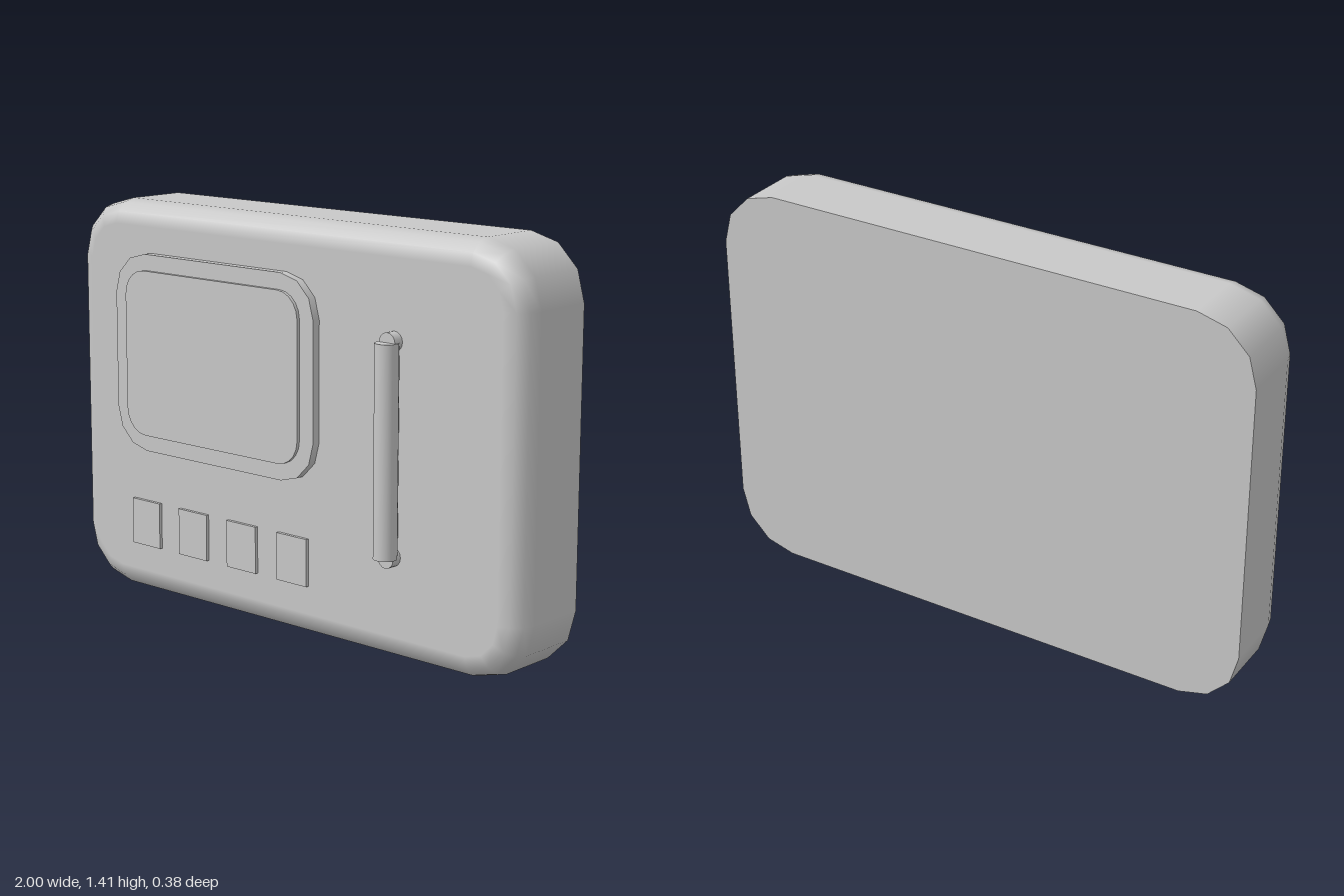
import * as THREE from 'three';

const grey = new THREE.MeshStandardMaterial({ color: 0xc8c8c8 });
grey.name = 'plain grey';

// Counter-clockwise rounded rectangle: points with their outward directions
function outline(w, h, r, seg) {
  const pts = [];
  const corners = [[1, 1], [-1, 1], [-1, -1], [1, -1]];
  corners.forEach(([sx, sy], c) => {
    for (let i = 0; i <= seg; i++) {
      const a = (c + i / seg) * Math.PI / 2;
      const nx = Math.cos(a), ny = Math.sin(a);
      pts.push({ x: sx * (w / 2 - r) + r * nx, y: sy * (h / 2 - r) + r * ny, nx, ny });
    }
  });
  return pts;
}

// Rounded slab from z0 to z1 whose front rim is rolled over by the bevel radius
function slab(w, h, r, seg, z0, z1, bevel = 0, bevelSeg = 3) {
  const pts = outline(w, h, r, seg), n = pts.length;
  const rings = [{ z: z0, inset: 0, a: 0 }];
  for (let i = 0; i <= (bevel ? bevelSeg : 0); i++) {
    const a = i / bevelSeg * Math.PI / 2;
    rings.push({ z: z1 - bevel * (1 - Math.sin(a)), inset: bevel * (1 - Math.cos(a)), a });
  }
  const pos = [], nor = [], idx = [];
  const addRing = (ring, normalOf) => {
    const start = pos.length / 3;
    for (const p of pts) {
      pos.push(p.x - p.nx * ring.inset, p.y - p.ny * ring.inset, ring.z);
      nor.push(...normalOf(p));
    }
    return start;
  };
  // Side wall and bevel
  rings.forEach((ring, k) => {
    const s = addRing(ring, p => [p.nx * Math.cos(ring.a), p.ny * Math.cos(ring.a), Math.sin(ring.a)]);
    if (k === 0) return;
    for (let i = 0; i < n; i++) {
      const j = (i + 1) % n, b = s - n;
      idx.push(b + i, b + j, s + j, b + i, s + j, s + i);
    }
  });
  // Flat front and back
  const front = addRing(rings[rings.length - 1], () => [0, 0, 1]);
  const back = addRing(rings[0], () => [0, 0, -1]);
  for (let i = 1; i < n - 1; i++) {
    idx.push(front, front + i, front + i + 1, back, back + i + 1, back + i);
  }
  const g = new THREE.BufferGeometry();
  g.setAttribute('position', new THREE.Float32BufferAttribute(pos, 3));
  g.setAttribute('normal', new THREE.Float32BufferAttribute(nor, 3));
  g.setIndex(idx);
  return g;
}

export function createModel() {
  const model = new THREE.Group();
  model.name = 'ovenDoorPanel';
  const add = (name, geometry, x, y, z = 0) => {
    const mesh = new THREE.Mesh(geometry, grey);
    mesh.name = name;
    mesh.position.set(x, y, z);
    model.add(mesh);
    return mesh;
  };

  // Main casing with flat back
  add('body', slab(2, 1.41, 0.21, 3, -0.19, 0.113, 0.083), 0, 0.705);

  // Window surround and raised window pane
  add('windowFrame', slab(0.935, 0.7, 0.145, 3, 0.1, 0.143), -0.2975, 0.886);
  add('windowPane', slab(0.815, 0.585, 0.09, 5, 0.1, 0.155), -0.2975, 0.887);

  // Row of square buttons
  for (let i = 0; i < 4; i++) {
    add('button' + (i + 1), new THREE.BoxGeometry(0.137, 0.165, 0.025), -0.65 + i * 0.235, 0.263, 0.1125);
  }

  // Upright bar handle on two short posts
  add('handleBar', new THREE.CylinderGeometry(0.04, 0.04, 0.705, 16), 0.49, 0.7075, 0.15);
  for (const [name, y] of [['lowerHandlePost', 0.355], ['upperHandlePost', 1.06]]) {
    add(name, new THREE.CylinderGeometry(0.033, 0.033, 0.05, 16), 0.49, y, 0.125).rotation.x = Math.PI / 2;
  }
  return model;
}
